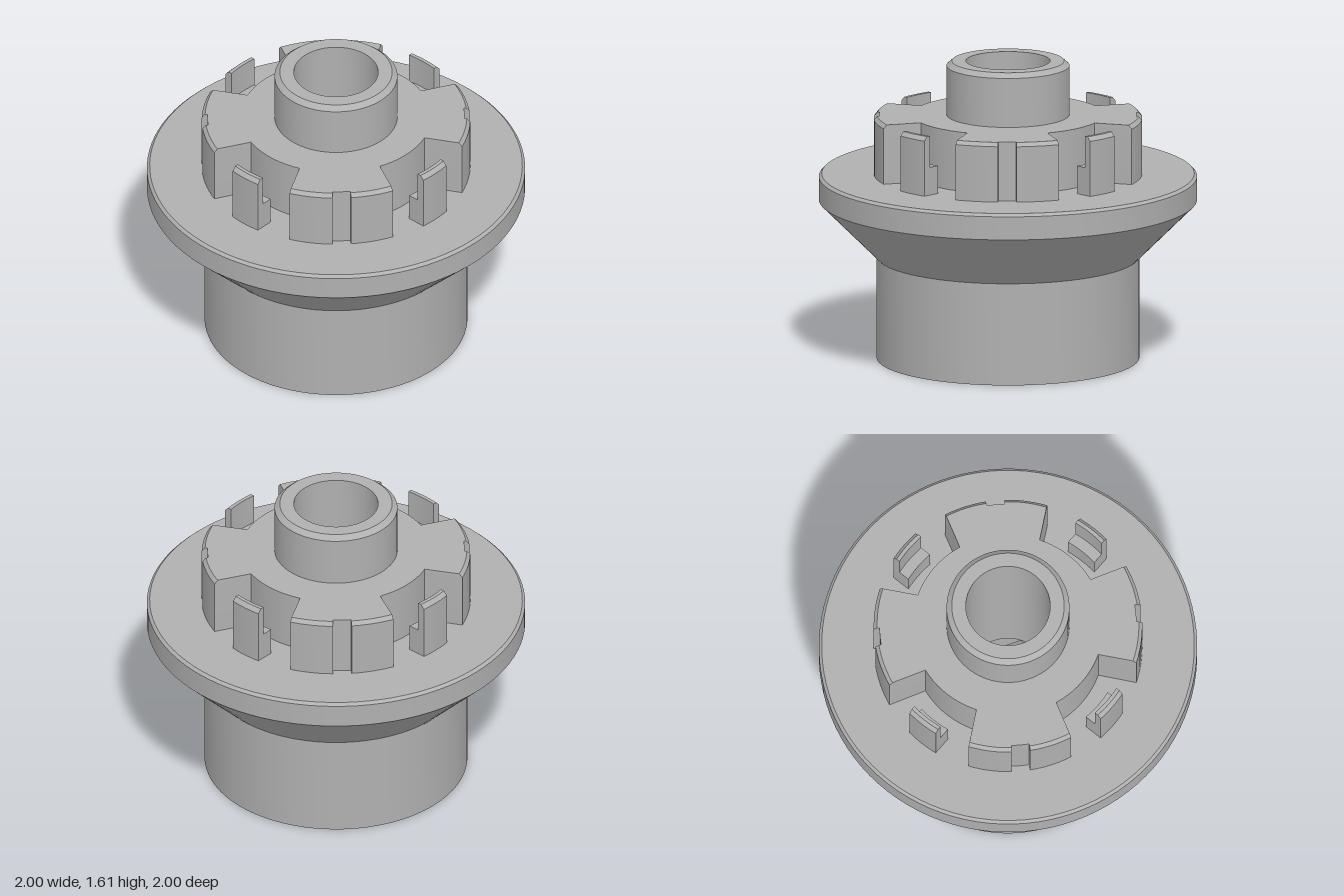
import * as THREE from 'three';
import { toCreasedNormals } from 'three/addons/utils/BufferGeometryUtils.js';

const grey = new THREE.MeshStandardMaterial({ color: 0xb0b0b0 });
grey.name = 'grey';

const HEX = 0.395;      // hex socket, centre to corner
const FLANGE = 0.995;   // height of the flange's upper face
const TOP = 1.315;      // height of the crown and clips

const v2 = (x, y) => new THREE.Vector2(x, y);
const polar = (r, deg) => v2(r * Math.cos(deg * Math.PI / 180), r * Math.sin(deg * Math.PI / 180));

function part(name, geometry) {
  const mesh = new THREE.Mesh(toCreasedNormals(geometry, 0.4), grey);
  mesh.name = name;
  return mesh;
}

// Apply a rule to every vertex
function reshape(geometry, rule) {
  const p = geometry.attributes.position;
  const v = new THREE.Vector3();
  for (let i = 0; i < p.count; i++) {
    rule(v.fromBufferAttribute(p, i));
    p.setXYZ(i, v.x, v.y, v.z);
  }
  return geometry;
}

// Base, cone, flange and hub, all turned on one axis
function makeBody() {
  return new THREE.LatheGeometry([
    v2(0.695, 0), v2(0.695, 0.55), v2(1, 0.855), v2(1, 0.98), v2(0.985, FLANGE),
    v2(0.325, FLANGE), v2(0.325, 1.58), v2(0.297, 1.605), v2(0.223, 1.605),
  ], 96);
}

// Round bore that tapers out into a hexagonal socket
function makeBore() {
  const bore = new THREE.LatheGeometry([v2(0.223, 1.605), v2(0.223, 0.49), v2(HEX, 0.335), v2(HEX, 0)], 96);
  return reshape(bore, (v) => {
    if (v.y > 0.4) return;
    const sector = Math.PI / 3;
    const a = Math.atan2(v.z, v.x);
    const off = a - (Math.floor(a / sector + 1e-6) + 0.5) * sector;
    const k = Math.cos(Math.PI / 6) / Math.cos(off);
    v.x *= k;
    v.z *= k;
  });
}

// Underside with hex opening and three pin holes
const pinAngles = [30, 150, 270];
function makeUnderside() {
  const disc = new THREE.Shape(Array.from({ length: 96 }, (_, i) => polar(0.695, i * 3.75)));
  disc.holes.push(new THREE.Path(Array.from({ length: 6 }, (_, i) => polar(HEX, i * 60))));
  for (const a of pinAngles) {
    const c = polar(0.505, a);
    disc.holes.push(new THREE.Path().absarc(c.x, c.y, 0.02, 0, Math.PI * 2, true));
  }
  return new THREE.ShapeGeometry(disc, 12).rotateX(Math.PI / 2);
}

// Crown of four wide teeth, each with a shallow notch in the middle
function makeCrown() {
  const pts = [];
  const arc = (r, from, to, n) => {
    for (let i = 0; i <= n; i++) pts.push(polar(r, from + (to - from) * i / n));
  };
  for (let q = 0; q < 360; q += 90) {
    arc(0.506, q - 20.2, q + 20.2, 10);
    arc(0.71, q + 22.4, q + 41, 6);
    arc(0.68, q + 41, q + 49, 2);
    arc(0.71, q + 49, q + 67.6, 6);
  }
  const plan = new THREE.Shape(pts);
  plan.holes.push(new THREE.Path().absarc(0, 0, 0.3, 0, Math.PI * 2, true));
  const crown = new THREE.ExtrudeGeometry(plan, { depth: 1, steps: 2, bevelEnabled: false, curveSegments: 24 });
  crown.rotateX(-Math.PI / 2);
  // three levels: foot, start of the chamfer, top
  return reshape(crown, (v) => {
    const r = Math.hypot(v.x, v.z);
    if (v.y > 0.9 && r > 0.69) {
      v.x *= 0.692 / r;
      v.z *= 0.692 / r;
    }
    v.y = v.y > 0.9 ? TOP : v.y > 0.4 ? TOP - 0.02 : FLANGE;
  });
}

// Stepped spring clip, bent to follow the rim
function makeClip() {
  const section = new THREE.Shape([
    v2(0.615, FLANGE), v2(0.715, FLANGE), v2(0.715, TOP - 0.022), v2(0.695, TOP),
    v2(0.675, TOP), v2(0.675, 1.145), v2(0.615, 1.145),
  ]);
  const clip = new THREE.ExtrudeGeometry(section, { depth: 0.18, steps: 6, bevelEnabled: false });
  clip.translate(0, 0, -0.09);
  return reshape(clip, (v) => { v.x = Math.sqrt(v.x * v.x - v.z * v.z); });
}

export function createModel() {
  const model = new THREE.Group();
  model.name = 'hubAdapter';
  model.add(
    part('body', makeBody()),
    part('boreAndSocket', makeBore()),
    part('underside', makeUnderside()),
    part('crown', makeCrown()),
  );

  // Four clips in the gaps of the crown
  const clip = makeClip();
  for (let i = 0; i < 4; i++) {
    const mesh = part('clip', clip);
    mesh.rotation.y = i * Math.PI / 2;
    model.add(mesh);
  }

  // Blind pin holes: inward-facing wall and end
  const wall = new THREE.LatheGeometry([v2(0, 0.2), v2(0.02, 0.2), v2(0.02, 0)], 24);
  for (const a of pinAngles) {
    const hole = part('pinHole', wall);
    const c = polar(0.505, a);
    hole.position.set(c.x, 0, c.y);
    model.add(hole);
  }
  return model;
}
